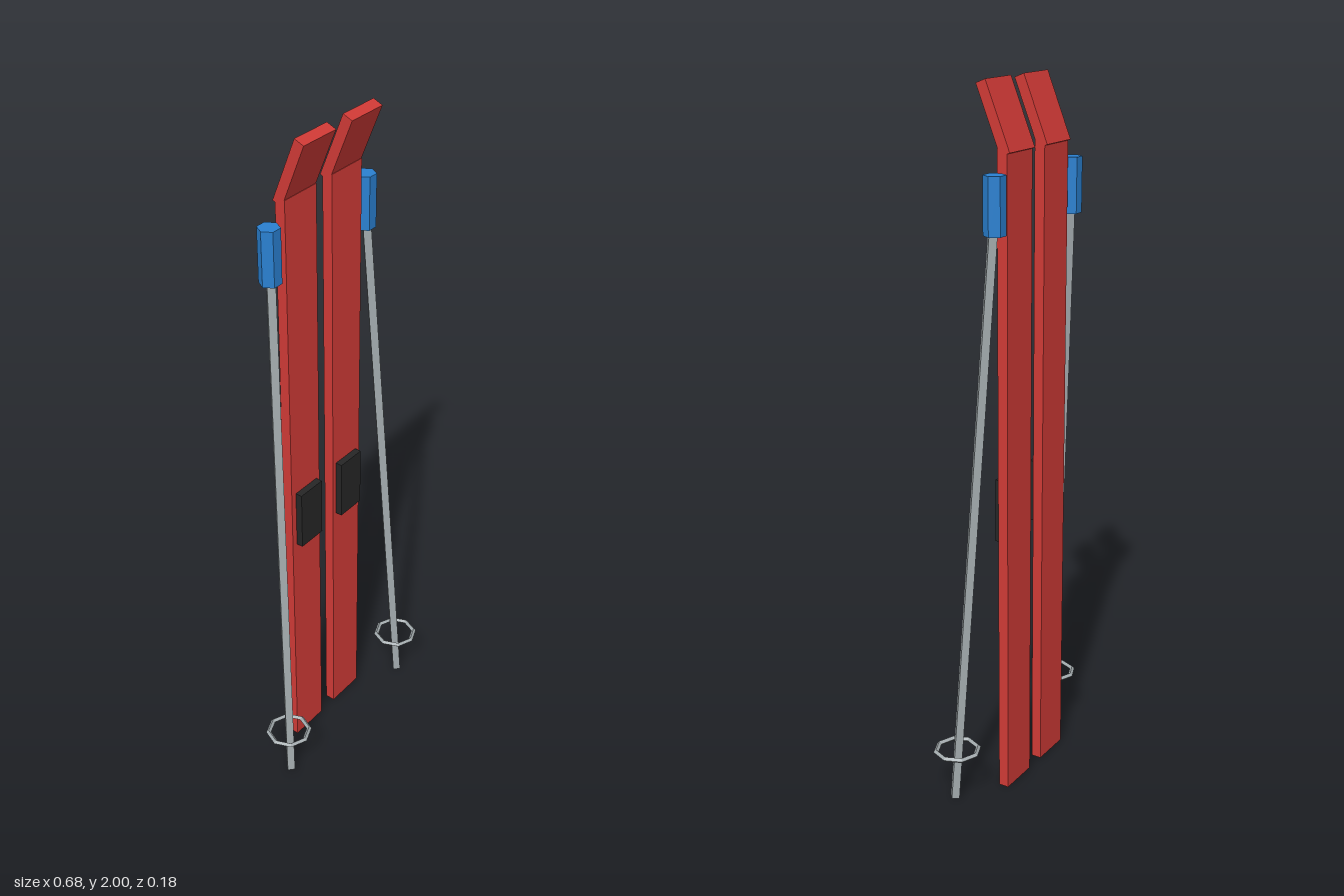
import * as THREE from 'three';

const mat = (color) => new THREE.MeshStandardMaterial({ color, flatShading: true });

export function createModel() {
  const red = mat(0xd03a36), black = mat(0x262626), blue = mat(0x2a80d0), metal = mat(0xa3abae);
  const model = new THREE.Group();
  model.name = 'skisAndPoles';

  const add = (parent, name, geometry, material, x = 0, y = 0, z = 0) => {
    const mesh = new THREE.Mesh(geometry, material);
    mesh.name = name;
    mesh.position.set(x, y, z);
    parent.add(mesh);
    return mesh;
  };

  for (const side of [1, -1]) {
    const label = side > 0 ? 'left' : 'right';

    // Ski: straight board, tip bent forward, boot binding
    const ski = new THREE.Group();
    ski.name = label + 'Ski';
    const x = side * 0.092;
    add(ski, 'skiBoard', new THREE.BoxGeometry(0.122, 1.832, 0.03), red, x, 0.916, -0.062);
    const tip = add(ski, 'skiTip', new THREE.BoxGeometry(0.122, 0.19, 0.03), red, x, 1.905, -0.035);
    tip.rotation.x = 0.385;
    add(ski, 'binding', new THREE.BoxGeometry(0.09, 0.18, 0.022), black, side * 0.09, 0.85, -0.038);

    // Pole: square shaft leaning inward and back, hexagonal grip, basket ring
    const pole = new THREE.Group();
    pole.name = label + 'Pole';
    const foot = new THREE.Vector3(side * 0.275, 0.002, 0.026);
    const head = new THREE.Vector3(side * 0.195, 1.65, -0.062);
    const lean = head.clone().sub(foot);
    const shaft = add(pole, 'shaft', new THREE.BoxGeometry(0.022, lean.length(), 0.022), metal);
    shaft.position.copy(foot).add(head).multiplyScalar(0.5);
    const heading = Math.atan2(lean.x, lean.z);
    shaft.rotation.set(Math.atan2(Math.hypot(lean.x, lean.z), lean.y), heading, 0, 'YXZ');

    const grip = new THREE.CylinderGeometry(0.03, 0.03, 0.152, 6).rotateY(Math.PI / 2);
    add(pole, 'grip', grip, blue, side * 0.193, 1.697, -0.065);

    const ring = new THREE.TorusGeometry(0.061, 0.0075, 4, 8).rotateX(Math.PI / 2);
    add(pole, 'basket', ring, metal, side * 0.271, 0.157, 0.019);

    model.add(ski, pole);
  }
  return model;
}
